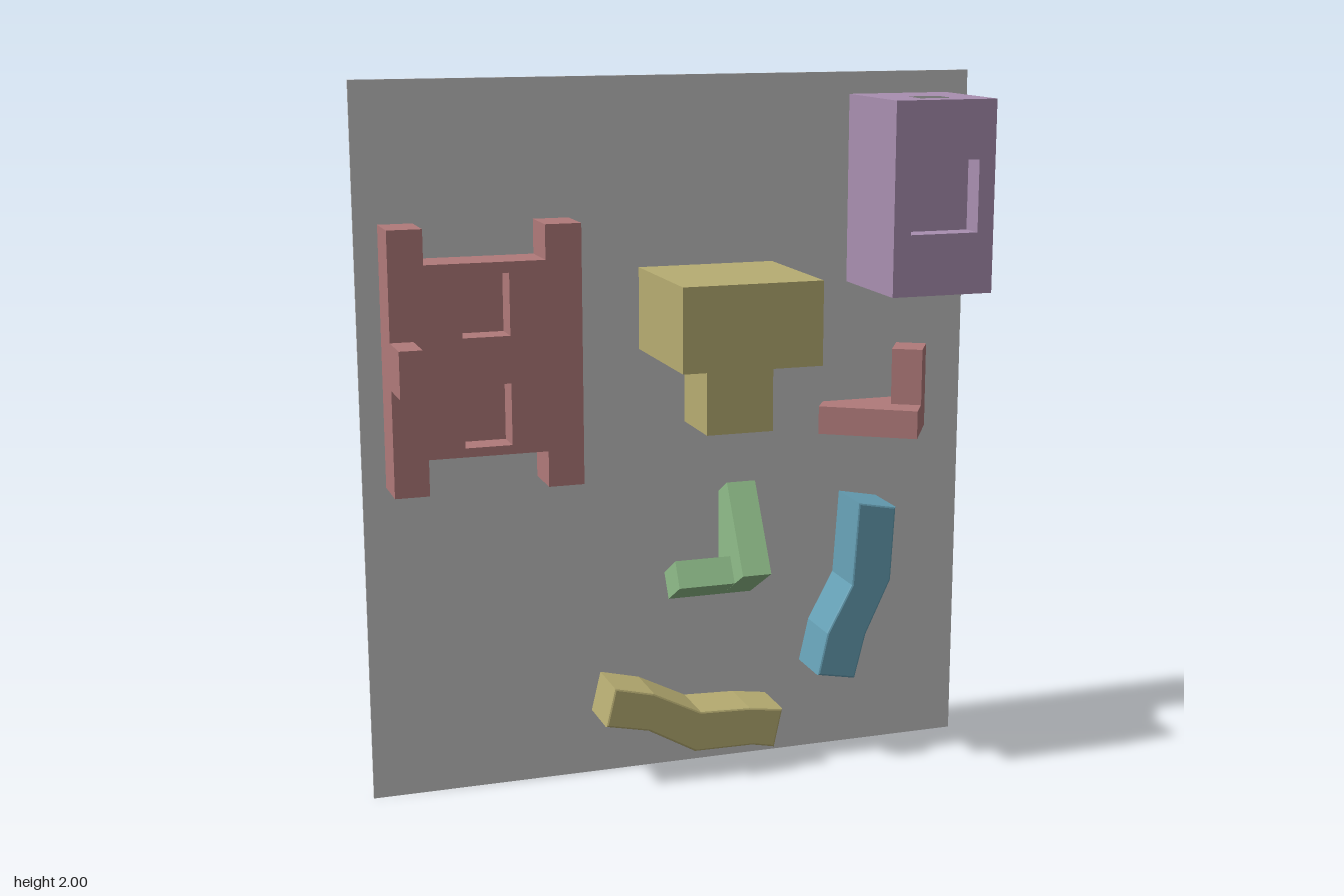
import * as THREE from 'three';

const mat = (name, color) => {
  const m = new THREE.MeshStandardMaterial({ color });
  m.name = name;
  return m;
};

const toShape = (pts) => new THREE.Shape(pts.map(([x, y]) => new THREE.Vector2(x, y)));
const rectPoints = (x0, x1, y0, y1) => [[x0, y0], [x1, y0], [x1, y1], [x0, y1]];

// Extrudes an outline with optional holes by the given depth.
function prism(pts, depth, holes = [], bevel = 0) {
  const shape = toShape(pts);
  holes.forEach((h) => shape.holes.push(toShape(h)));
  return new THREE.ExtrudeGeometry(shape, {
    depth, bevelEnabled: bevel > 0, bevelSize: bevel, bevelOffset: -bevel,
    bevelThickness: bevel, bevelSegments: 2,
  });
}

// Prism along z, from z0 to z1; outline in x, y.
function alongZ(pts, z0, z1, holes) {
  return prism(pts, z1 - z0, holes).translate(0, 0, z0);
}

// Prism along y; outline in x, z.
function alongY(pts, y0, y1, holes = []) {
  const flip = (p) => p.map(([x, z]) => [x, -z]);
  return prism(flip(pts), y1 - y0, holes.map(flip)).rotateX(-Math.PI / 2).translate(0, y0, 0);
}

// Prism along x; outline in z, y.
function alongX(pts, x0, x1) {
  return prism(pts.map(([z, y]) => [-z, y]), x1 - x0).rotateY(Math.PI / 2).translate(x0, 0, 0);
}

function box(x0, x1, y0, y1, z0, z1) {
  return new THREE.BoxGeometry(x1 - x0, y1 - y0, z1 - z0)
    .translate((x0 + x1) / 2, (y0 + y1) / 2, (z0 + z1) / 2);
}

export function createModel() {
  const model = new THREE.Group();
  const grey = mat('grey', 0xc0c0c0);
  const red = mat('dusty red', 0xb07a7a);
  const yellow = mat('ochre', 0xb7ad72);
  const purple = mat('mauve', 0xa98fb0);
  const green = mat('soft green', 0x90be8a);
  const blue = mat('teal blue', 0x66a0b5);

  const BACK = -0.192; // front surface of the panel

  function part(name, material, ...geometries) {
    const group = new THREE.Group();
    group.name = name;
    geometries.forEach((g, i) => {
      const mesh = new THREE.Mesh(g, material);
      mesh.name = `${name}${i + 1}`;
      group.add(mesh);
    });
    model.add(group);
  }

  // Backing panel
  part('panel', grey, box(-0.89, 0.89, 0, 2, -0.2, BACK));

  // Four-legged plate with two recesses and a side peg
  const plate = [
    [-0.825, 0.9], [-0.73, 0.9], [-0.73, 1.0], [-0.4, 1.0], [-0.4, 0.9], [-0.3, 0.9],
    [-0.3, 1.62], [-0.4, 1.62], [-0.4, 1.525], [-0.73, 1.525], [-0.73, 1.62], [-0.825, 1.62],
  ];
  part('recessedPlate', red,
    alongZ(plate, BACK, -0.14),
    alongZ(plate, -0.14, -0.06, [
      rectPoints(-0.63, -0.5, 1.325, 1.495),
      rectPoints(-0.63, -0.5, 1.025, 1.195),
    ]));
  part('platePeg', red, box(-0.825, -0.762, 1.195, 1.323, -0.06, 0.068));

  // Mushroom-like block
  part('blockHead', yellow, box(-0.1, 0.295, 1.243, 1.474, BACK, 0.203));
  part('blockStem', yellow, box(0, 0.19, 1.05, 1.243, -0.09, 0.105));

  // Tall block: front slab with window, solid core, ends with square sockets
  const section = rectPoints(0.525, 0.823, BACK, 0.067);
  const socket = rectPoints(0.628, 0.722, -0.03, 0.063);
  part('tallBlock', purple,
    alongZ(rectPoints(0.525, 0.823, 1.405, 1.938), 0.067, 0.136, [rectPoints(0.575, 0.775, 1.575, 1.775)]),
    box(0.525, 0.823, 1.485, 1.858, BACK, 0.067),
    alongY(section, 1.858, 1.938, [socket]),
    alongY(section, 1.405, 1.485, [socket]));

  // Elbow turned about the vertical, sunk into the panel
  part('redElbow', red,
    alongY([[0.42, -0.13], [0.66, 0.025], [0.76, -0.145], [0.675, BACK], [0.457, BACK]], 0.975, 1.056),
    alongY([[0.63, -0.095], [0.705, -0.05], [0.76, -0.145], [0.685, -0.19]], 1.056, 1.218));

  // Elbow leaning back into the panel
  part('greenElbow', green,
    alongX([[0.02, 0.615], [-0.12, 0.855], [BACK, 0.813], [BACK, 0.583], [-0.153, 0.515]], 0.137, 0.222),
    alongX([[-0.05, 0.575], [-0.09, 0.645], [-0.192, 0.583], [-0.153, 0.515]], -0.028, 0.137));

  // Bent bars with softened edges
  const bar = (pts) => prism(pts, 0.145, [], 0.006).translate(0, 0, BACK + 0.006);
  part('blueBar', blue, bar([
    [0.51, 0.785], [0.627, 0.763], [0.615, 0.545], [0.54, 0.385],
    [0.507, 0.253], [0.39, 0.275], [0.418, 0.4], [0.493, 0.54],
  ]));
  part('yellowBar', yellow, bar([
    [-0.225, 0.305], [-0.11, 0.277], [0.03, 0.206], [0.18, 0.2], [0.282, 0.185],
    [0.257, 0.07], [0.19, 0.084], [0.015, 0.086], [-0.125, 0.165], [-0.252, 0.192],
  ]));

  return model;
}
